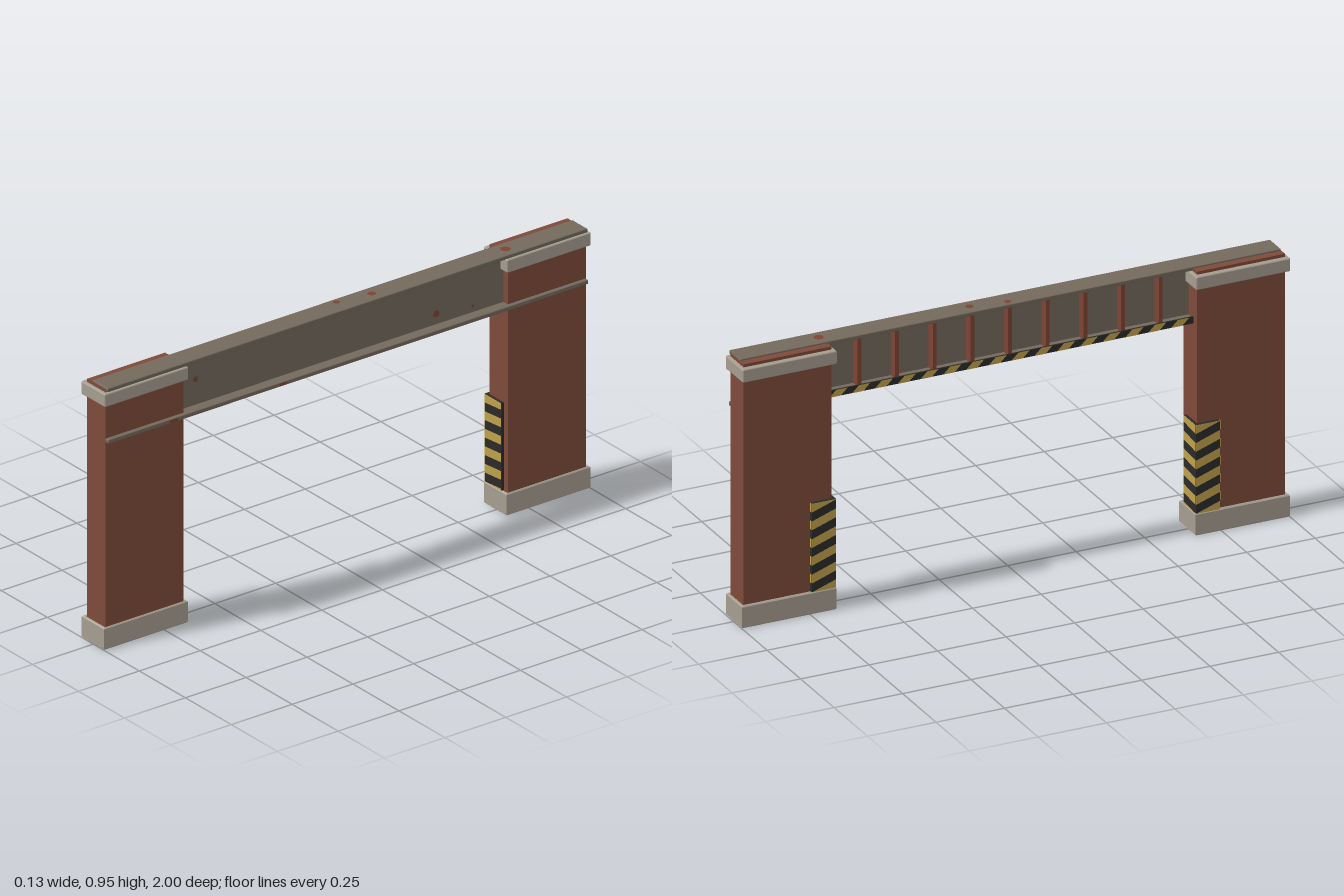
import * as THREE from 'three';
import { RoundedBoxGeometry } from 'three/addons/geometries/RoundedBoxGeometry.js';

const mat = (name, color, side = THREE.FrontSide) => {
  const m = new THREE.MeshStandardMaterial({ color, side });
  m.name = name;
  return m;
};

export function createModel() {
  const brick = mat('brick red', 0x7e4a3a);
  const concrete = mat('pale concrete', 0xa69d90);
  const steel = mat('grey steel', 0x73695c);
  const rust = mat('rust', 0x7d4433, THREE.DoubleSide);
  const yellow = mat('warning yellow', 0xc0a148, THREE.DoubleSide);
  const black = mat('warning black', 0x2b2a2a);
  const moss = mat('dark moss', 0x3c4630);

  const root = new THREE.Group();
  root.name = 'gateFrame';

  const add = (parent, name, geometry, material) => {
    const mesh = new THREE.Mesh(geometry, material);
    mesh.name = name;
    parent.add(mesh);
    return mesh;
  };
  // Box given by its min and max on each axis
  const box = (parent, name, material, [x0, x1], [y0, y1], [z0, z1], radius = 0) => {
    const size = [x1 - x0, y1 - y0, z1 - z0];
    const g = radius ? new RoundedBoxGeometry(...size, 2, radius) : new THREE.BoxGeometry(...size);
    g.translate((x0 + x1) / 2, (y0 + y1) / 2, (z0 + z1) / 2);
    return add(parent, name, g, material);
  };
  const rect = (path, x0, x1, y0, y1) => {
    path.moveTo(x0, y0);
    path.lineTo(x1, y0);
    path.lineTo(x1, y1);
    path.lineTo(x0, y1);
    path.closePath();
    return path;
  };
  // Flat yellow bands, in the XY plane; each band is clipped to the panel
  const bands = (width, height, count, tilt) => {
    const shapes = [];
    const period = height / count;
    for (let i = -1; i <= count; i++) {
      const y0 = (i + 0.5) * period;
      const y1 = y0 + period * 0.5;
      const clip = (v) => Math.min(height, Math.max(0, v));
      const pts = [[0, clip(y0)], [width, clip(y0 + tilt)], [width, clip(y1 + tilt)], [0, clip(y1)]];
      if (pts[3][1] - pts[0][1] < 0.002 && pts[2][1] - pts[1][1] < 0.002) continue;
      shapes.push(new THREE.Shape(pts.map((p) => new THREE.Vector2(...p))));
    }
    return new THREE.ShapeGeometry(shapes);
  };

  // Pillars, one at each end; s points outward along z
  for (const s of [1, -1]) {
    const pillar = new THREE.Group();
    pillar.name = s > 0 ? 'frontPillar' : 'backPillar';
    root.add(pillar);
    const span = (a, b) => (s > 0 ? [a, b] : [-b, -a]);

    box(pillar, 'brickColumn', brick, [-0.05, 0.05], [0.03, 0.947], span(0.667, 0.988));
    box(pillar, 'capSlab', concrete, [-0.068, 0.063], [0.888, 0.936], span(0.655, 1), 0.005);

    // Footing ring around the column, open underneath
    const ring = rect(new THREE.Shape(), -0.063, 0.059, -0.1725, 0.1725);
    ring.holes.push(rect(new THREE.Path(), -0.049, 0.049, -0.16, 0.16));
    const foot = new THREE.ExtrudeGeometry(ring, {
      depth: 0.072, bevelEnabled: true, bevelThickness: 0.004, bevelSize: 0.004, bevelOffset: -0.004, bevelSegments: 1,
    });
    foot.rotateX(-Math.PI / 2);
    foot.translate(0, 0.004, s * 0.8275);
    add(pillar, 'footing', foot, concrete);
    box(pillar, 'footingUnderside', moss, [-0.055, 0.055], [0.015, 0.02], span(0.66, 0.995));

    // Striped corner guard on the inner edge
    const guard = new THREE.Group();
    guard.name = 'cornerGuard';
    pillar.add(guard);
    box(guard, 'innerGuardPlate', black, [-0.062, 0.028], [0.08, 0.4], span(0.657, 0.667));
    box(guard, 'sideGuardPlate', black, [-0.062, -0.05], [0.08, 0.4], span(0.657, 0.745));

    const inner = add(guard, 'innerGuardStripes', bands(0.09, 0.32, 5, 0.008), yellow);
    inner.position.set(-0.062, 0.08, s * 0.656);
    const side = add(guard, 'sideGuardStripes', bands(0.088, 0.32, 5, 0.03), yellow);
    side.rotation.y = -Math.PI / 2;
    side.position.set(-0.063, 0.08, s > 0 ? 0.657 : -0.745);
    // Outer edge of the side plate, seen end-on
    const edge = add(guard, 'guardEdgeStripes', bands(0.012, 0.32, 5, 0), yellow);
    edge.position.set(-0.062, 0.08, s * 0.746);
  }

  // I-beam running across both pillars
  const beam = new THREE.Group();
  beam.name = 'beam';
  root.add(beam);
  box(beam, 'topFlange', steel, [-0.022, 0.061], [0.939, 0.953], [-0.987, 0.987], 0.003);
  box(beam, 'bottomFlange', steel, [-0.022, 0.065], [0.752, 0.767], [-0.987, 0.987], 0.003);
  box(beam, 'web', steel, [0.014, 0.026], [0.76, 0.945], [-0.985, 0.985]);

  // Stiffener ribs on the back of the web
  for (let i = -4; i <= 4; i++) {
    const z = i * 0.1375;
    box(beam, 'stiffener', rust, [-0.018, 0.016], [0.765, 0.941], [z - 0.007, z + 0.007]);
  }

  // Warning strip along the lower edge
  box(beam, 'warningStrip', black, [-0.028, -0.022], [0.752, 0.776], [-0.665, 0.665]);
  const slants = [];
  const period = 1.33 / 16;
  for (let i = 0; i < 16; i++) {
    const a = i * period;
    slants.push(new THREE.Shape([
      new THREE.Vector2(a, 0), new THREE.Vector2(a + period * 0.5, 0),
      new THREE.Vector2(a + period * 0.8, 0.024), new THREE.Vector2(a + period * 0.3, 0.024),
    ]));
  }
  const strip = add(beam, 'warningStripes', new THREE.ShapeGeometry(slants), yellow);
  strip.rotation.y = -Math.PI / 2;
  strip.position.set(-0.029, 0.752, -0.665);

  // Small rust spots on the top flange and the web
  for (const [x, z, r] of [[0.02, -0.68, 0.018], [0.02, -0.13, 0.015], [0, 0, 0.013]]) {
    const spot = add(beam, 'rustSpot', new THREE.CircleGeometry(r, 7), rust);
    spot.rotation.x = -Math.PI / 2;
    spot.position.set(x, 0.954, z);
  }
  for (const [y, z, r] of [[0.86, 0.6, 0.011], [0.805, -0.39, 0.013], [0.79, -0.54, 0.006]]) {
    const spot = add(beam, 'rustSpot', new THREE.CircleGeometry(r, 7), rust);
    spot.rotation.y = Math.PI / 2;
    spot.position.set(0.027, y, z);
  }
  for (const [z, w] of [[0.27, 0.03], [0.72, 0.035]]) {
    box(beam, 'rustPatch', rust, [0.063, 0.066], [0.754, 0.765], [z - w / 2, z + w / 2]);
  }
  return root;
}
